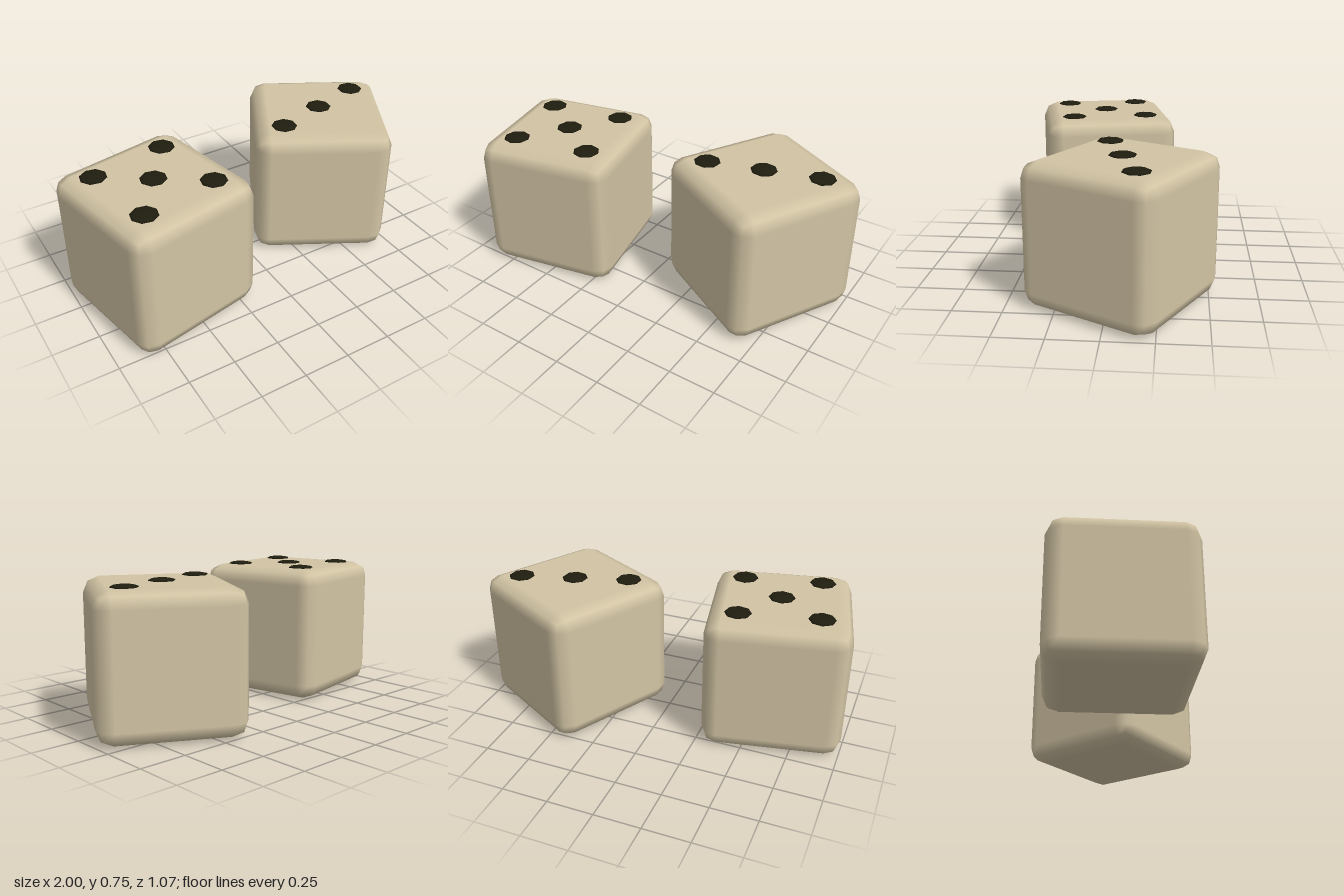
import * as THREE from 'three';
import { RoundedBoxGeometry } from 'three/addons/geometries/RoundedBoxGeometry.js';

const SIZE = 0.74;
const PIP = 0.209; // pip offset from the face centre

export function createModel() {
  const ivory = new THREE.MeshStandardMaterial({ color: 0xd2c4a4 });
  ivory.name = 'ivory';
  const black = new THREE.MeshStandardMaterial({ color: 0x1f1d0f });
  black.name = 'pipBlack';

  const bodyGeometry = new RoundedBoxGeometry(SIZE, SIZE, SIZE, 1, 0.085);
  // flattened low-poly bead
  const pipGeometry = new THREE.SphereGeometry(0.07, 8, 6).scale(1, 0.18, 1);

  function makeDie(name, x, z, turn, pips) {
    const die = new THREE.Group();
    die.name = name;
    const body = new THREE.Mesh(bodyGeometry, ivory);
    body.name = 'dieBody';
    body.position.y = SIZE / 2;
    die.add(body);
    pips.forEach(([px, pz], i) => {
      const pip = new THREE.Mesh(pipGeometry, black);
      pip.name = `pip${i + 1}`;
      pip.position.set(px * PIP, SIZE + 0.002, pz * PIP);
      die.add(pip);
    });
    die.position.set(x, 0, z);
    die.rotation.y = turn;
    return die;
  }

  const model = new THREE.Group();
  model.name = 'pairOfDice';
  model.add(
    makeDie('dieFive', -0.581, 0.116, 0.2, [[-1, -1], [1, -1], [0, 0], [-1, 1], [1, 1]]),
    makeDie('dieThree', 0.532, -0.067, -0.5, [[-1, 1], [0, 0], [1, -1]]),
  );
  return model;
}
